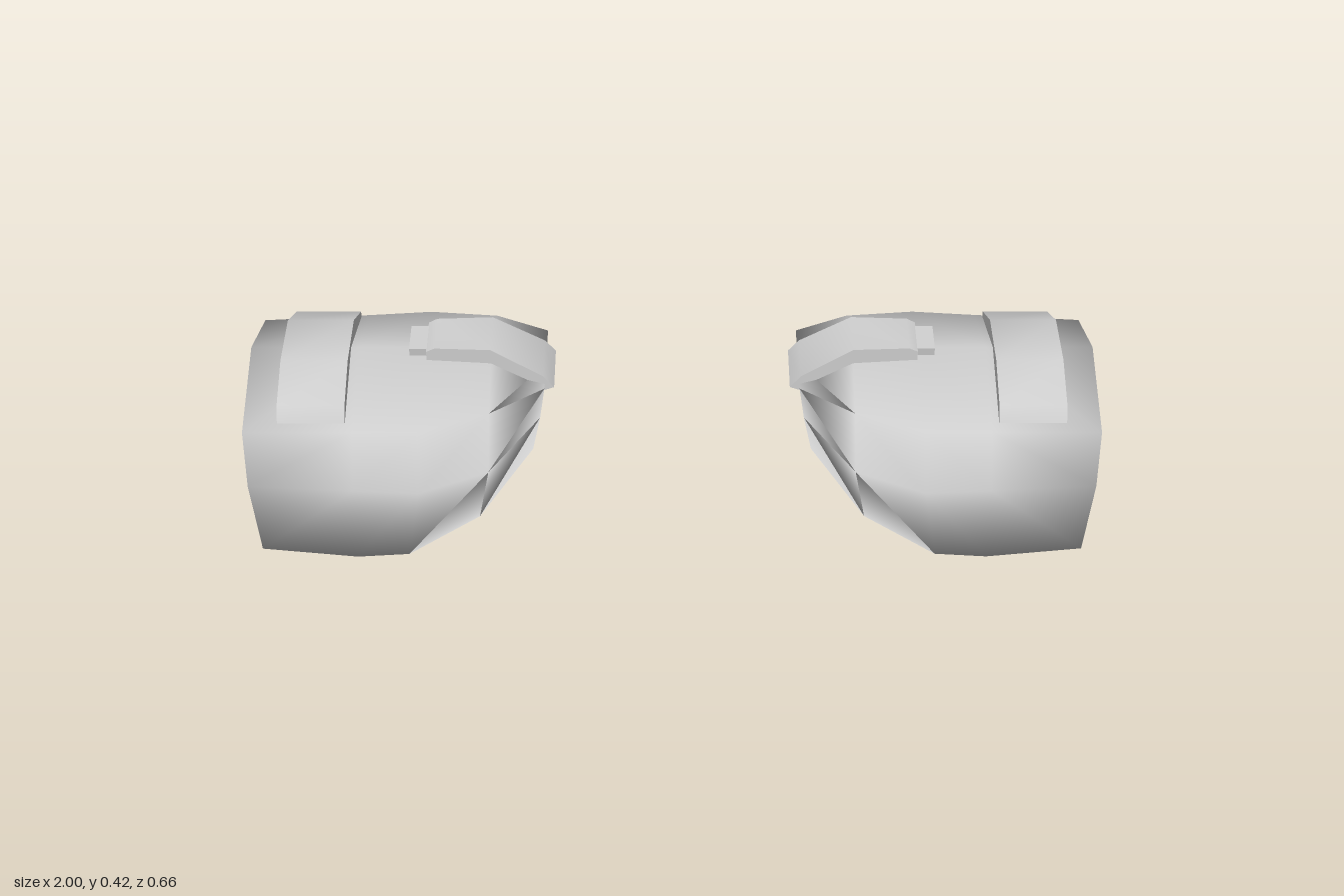
import * as THREE from 'three';
import { mergeVertices, toCreasedNormals } from 'three/addons/utils/BufferGeometryUtils.js';

const metal = new THREE.MeshStandardMaterial({ color: 0xcccccc });
metal.name = 'grey metal';

// Arched cross-sections from the outer rim to the inner rim;
// each runs front bottom -> top -> back bottom as [x, y, z]
const rings = [
  [[0.95, 0.02, 0.31], [0.97, 0.195, 0.3], [0.98, 0.305, 0.243], [0.98, 0.388, 0.02], [0.98, 0.322, -0.19], [0.985, 0.185, -0.27], [1, 0.05, -0.265]],
  [[0.73, 0, 0.315], [0.73, 0.185, 0.305], [0.73, 0.305, 0.243], [0.73, 0.388, 0.02], [0.73, 0.33, -0.2], [0.75, 0.185, -0.285], [0.75, 0.01, -0.3]],
  [[0.61, 0.008, 0.315], [0.58, 0.18, 0.308], [0.58, 0.305, 0.243], [0.58, 0.388, 0.02], [0.58, 0.333, -0.21], [0.57, 0.185, -0.292], [0.55, 0.035, -0.328]],
  [[0.44, 0.13, 0.328], [0.42, 0.22, 0.28], [0.42, 0.32, 0.19], [0.42, 0.385, 0.02], [0.42, 0.335, -0.19], [0.4, 0.2, -0.285], [0.42, 0.115, -0.295]],
  [[0.32, 0.235, 0.21], [0.305, 0.28, 0.15], [0.297, 0.312, 0.08], [0.295, 0.328, 0], [0.297, 0.32, -0.1], [0.3, 0.285, -0.2], [0.34, 0.2, -0.265]],
];
const hollow = [0.72, 0.227, 0.1];   // deepest point of the hollow underside

function shellGeometry(side) {
  const pos = [];
  const tri = (a, b, c) => {
    for (const p of side > 0 ? [a, b, c] : [a, c, b]) pos.push(p[0] * side, p[1], p[2]);
  };
  const last = rings.length - 1, n = rings[0].length - 1;
  // Domed outside
  for (let i = 0; i < last; i++) {
    for (let j = 0; j < n; j++) {
      const a = rings[i][j], b = rings[i][j + 1], c = rings[i + 1][j + 1], d = rings[i + 1][j];
      tri(a, b, c);
      tri(a, c, d);
    }
  }
  // Hollow underside, drawn in from the whole rim
  const rim = [
    ...rings.slice(0, last).map(r => r[0]),
    ...rings[last],
    ...rings.slice(0, last).map(r => r[n]).reverse(),
    ...rings[0].slice(0, n).reverse(),
  ];
  for (let k = 0; k < rim.length - 1; k++) tri(hollow, rim[k], rim[k + 1]);

  const g = new THREE.BufferGeometry();
  g.setAttribute('position', new THREE.Float32BufferAttribute(pos, 3));
  const smooth = mergeVertices(g);
  smooth.computeVertexNormals();
  return smooth;
}

// Plate with an outline in a plane, extruded symmetrically about that plane
function plate(points, width) {
  const shape = new THREE.Shape(points.map(p => new THREE.Vector2(p[0], p[1])));
  const g = new THREE.ExtrudeGeometry(shape, { depth: width, bevelEnabled: false });
  return g.translate(0, 0, -width / 2);
}

function add(group, name, geometry) {
  const mesh = new THREE.Mesh(geometry, metal);
  mesh.name = name;
  group.add(mesh);
}

function shoulderPad(side) {
  const pad = new THREE.Group();
  pad.name = side > 0 ? 'leftShoulderPad' : 'rightShoulderPad';
  add(pad, 'shell', shellGeometry(side));

  // Bent band running front to back near the outer rim
  const band = plate([[-0.22, 0.315], [-0.2, 0.35], [-0.09, 0.4], [0.06, 0.41], [0.19, 0.347], [0.19, 0.33], [0, 0.37], [-0.2, 0.31]], 0.155);
  band.rotateY(Math.PI / 2).translate(0.825 * side, 0, 0);
  add(pad, 'outerBand', toCreasedNormals(band, 1.1));

  // Strap running over the top to the inner end, tilted and slightly tapered
  const strap = plate([[0.57, 0.405], [0.55, 0.415], [0.42, 0.415], [0.3, 0.345], [0.275, 0.315], [0.3, 0.305], [0.42, 0.37], [0.57, 0.38]]
    .map(([x, y]) => [x * side, y]), 0.12);
  const p = strap.attributes.position;
  for (let i = 0; i < p.count; i++) {
    const taper = 1.05 - 0.7 * (Math.abs(p.getX(i)) - 0.28);
    p.setZ(i, p.getZ(i) * taper + 0.003);
    p.setY(i, p.getY(i) - 0.13 * p.getZ(i));
  }
  add(pad, 'innerStrap', toCreasedNormals(strap, 1.1));

  // Narrow tab at the end of the strap
  const tab = new THREE.BoxGeometry(0.06, 0.022, 0.08);
  tab.rotateX(0.13).translate(0.58 * side, 0.394, 0.003);
  add(pad, 'strapTab', tab);
  return pad;
}

export function createModel() {
  const model = new THREE.Group();
  model.name = 'shoulderPads';
  for (const side of [1, -1]) model.add(shoulderPad(side));
  return model;
}
